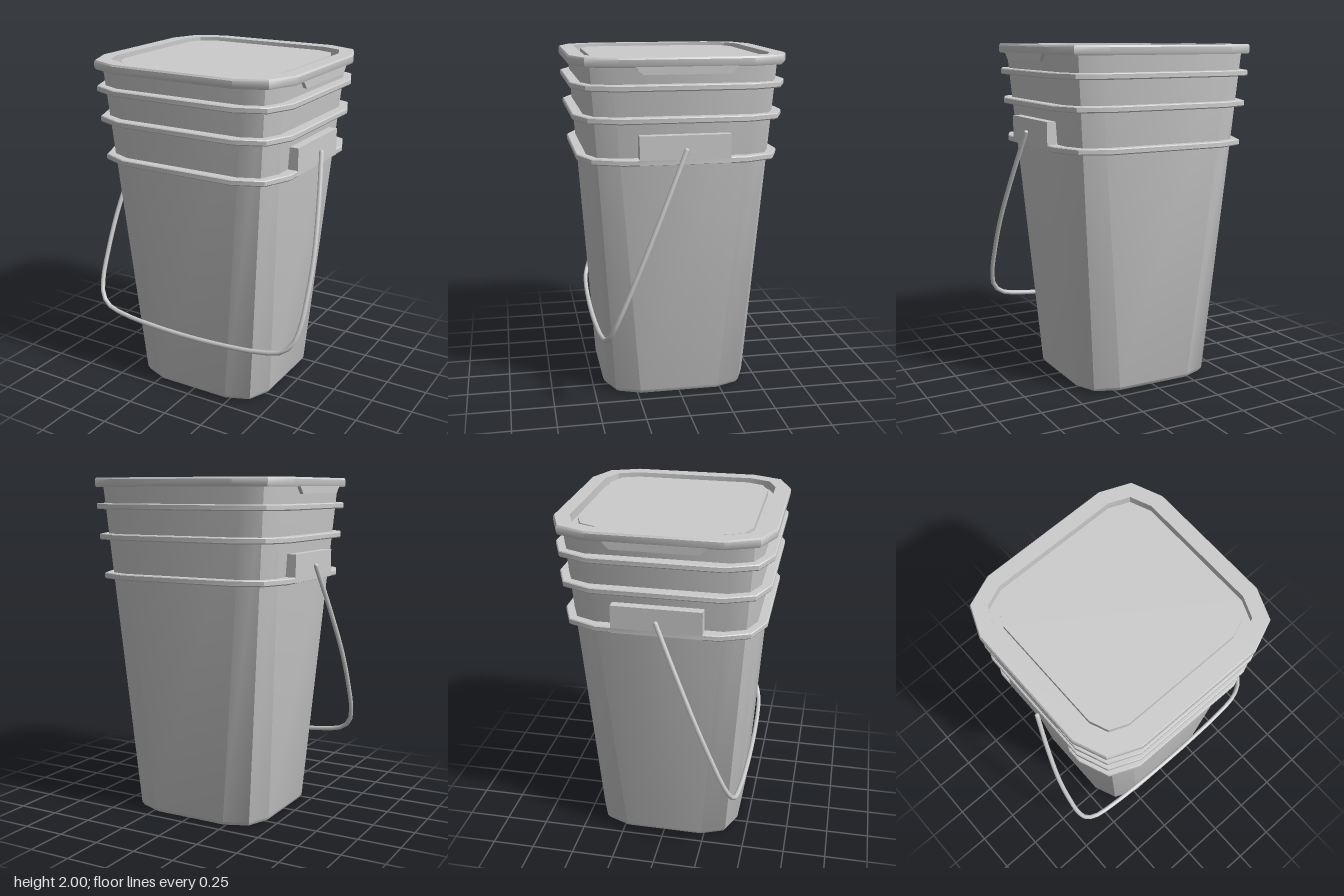
import * as THREE from 'three';
import { toCreasedNormals } from 'three/addons/utils/BufferGeometryUtils.js';

const material = new THREE.MeshStandardMaterial({ color: 0xcccccc, side: THREE.DoubleSide });

// Square outline with three points on each corner arc, running from +x towards +z
function outline([halfX, halfZ, radius, y]) {
  const points = [];
  for (let q = 0; q < 4; q++) {
    const sx = q === 0 || q === 3 ? 1 : -1, sz = q < 2 ? 1 : -1;
    for (let k = 0; k < 3; k++) {
      const a = (q + k / 2) * Math.PI / 2;
      points.push([
        sx * (halfX - radius) + radius * Math.cos(a), y,
        sz * (halfZ - radius) + radius * Math.sin(a)]);
    }
  }
  return points;
}

// Skin over a run of outlines, optionally closed at its first or last one
function loft(name, sections, capStart = false, capEnd = false) {
  const rings = sections.map(outline), n = 12, pos = [];
  const tri = (a, b, c) => pos.push(...a, ...b, ...c);
  for (let i = 0; i < rings.length - 1; i++) {
    for (let j = 0; j < n; j++) {
      const k = (j + 1) % n, lo = rings[i], hi = rings[i + 1];
      tri(lo[j], hi[j], lo[k]);
      tri(lo[k], hi[j], hi[k]);
    }
  }
  const last = rings[rings.length - 1];
  for (let j = 1; j < n - 1; j++) {
    if (capStart) tri(rings[0][0], rings[0][j], rings[0][j + 1]);
    if (capEnd) tri(last[0], last[j + 1], last[j]);
  }
  const geometry = new THREE.BufferGeometry();
  geometry.setAttribute('position', new THREE.Float32BufferAttribute(pos, 3));
  return mesh(name, toCreasedNormals(geometry, 0.6));
}

function mesh(name, geometry) {
  const m = new THREE.Mesh(geometry, material);
  m.name = name;
  return m;
}

export function createModel() {
  const model = new THREE.Group();
  model.name = 'lidded pail';
  const pail = new THREE.Group();
  pail.name = 'pail';
  pail.position.x = -0.007;
  model.add(pail);

  // Tapered body with a small bevel at the foot
  pail.add(loft('body', [
    [0.418, 0.42, 0.19, 0.003],
    [0.431, 0.435, 0.2, 0.025],
    [0.567, 0.556, 0.155, 1.975],
  ], true));

  // Three flanges around the upper body, each with a lip hanging at its edge
  const flanges = [[0.618, 0.605, 1.855], [0.608, 0.595, 1.68], [0.592, 0.577, 1.452]];
  flanges.forEach(([hx, hz, y], i) => {
    const at = (inset, dy) => [hx - inset, hz - inset, 0.237 - inset, y + dy];
    pail.add(loft('flange' + (i + 1), [
      at(0.09, -0.022), at(0.016, -0.022), at(0.016, -0.034), at(0.005, -0.034),
      at(0, -0.028), at(0, -0.005), at(0.005, 0), at(0.09, 0)]));
  });

  // Lid: hollow skirt, flat rim, groove and raised panel
  const lid = (half, y) => [half, half - 0.017, half - 0.383 + Math.max(0, 0.565 - half) * 0.4, y];
  pail.add(loft('lid', [
    lid(0.555, 1.97), lid(0.608, 1.97), lid(0.608, 1.948), lid(0.623, 1.948), lid(0.629, 1.96),
    lid(0.629, 1.99), lid(0.622, 2), lid(0.538, 2), lid(0.538, 1.95), lid(0.496, 1.95),
    lid(0.496, 1.985),
  ], false, true));

  // Pull tabs under the lid and handle brackets, one of each per side
  const tabShape = new THREE.Shape([
    [-0.283, 1.957], [-0.24, 1.91], [0.24, 1.91], [0.283, 1.957],
  ].map(([z, y]) => new THREE.Vector2(z, y)));
  for (const [side, s] of [['left', 1], ['right', -1]]) {
    const tab = mesh(side + 'LidTab',
      new THREE.ExtrudeGeometry(tabShape, { depth: 0.02, bevelEnabled: false }));
    tab.rotation.y = s * Math.PI / 2;
    tab.position.x = s * 0.605;
    pail.add(tab);

    const bracket = mesh(side + 'Bracket', new THREE.BoxGeometry(0.08, 0.16, 0.508));
    bracket.position.set(s * 0.552, 1.5, 0);
    pail.add(bracket);
  }

  // Wire handle hanging forward in a sloping plane
  const half = [[0.609, 1.5], [0.657, 1.22], [0.692, 0.95], [0.7, 0.75], [0.695, 0.58],
    [0.67, 0.49], [0.61, 0.435], [0.47, 0.405], [0.25, 0.388]];
  const path = [...half.map(([x, y]) => [-x, y]), [0, 0.382], ...half.slice().reverse()]
    .map(([x, y]) => new THREE.Vector3(x, y, (1.5 - y) * 0.428));
  const wire = new THREE.CatmullRomCurve3(path, false, 'centripetal');
  const handle = new THREE.Group();
  handle.name = 'handle';
  handle.position.x = -0.002;
  handle.add(mesh('handleWire', new THREE.TubeGeometry(wire, 60, 0.014, 8)));
  for (const end of [path[0], path[path.length - 1]]) {
    const tip = mesh('handleEnd', new THREE.SphereGeometry(0.014, 8, 6));
    tip.position.copy(end);
    handle.add(tip);
  }
  model.add(handle);
  return model;
}
